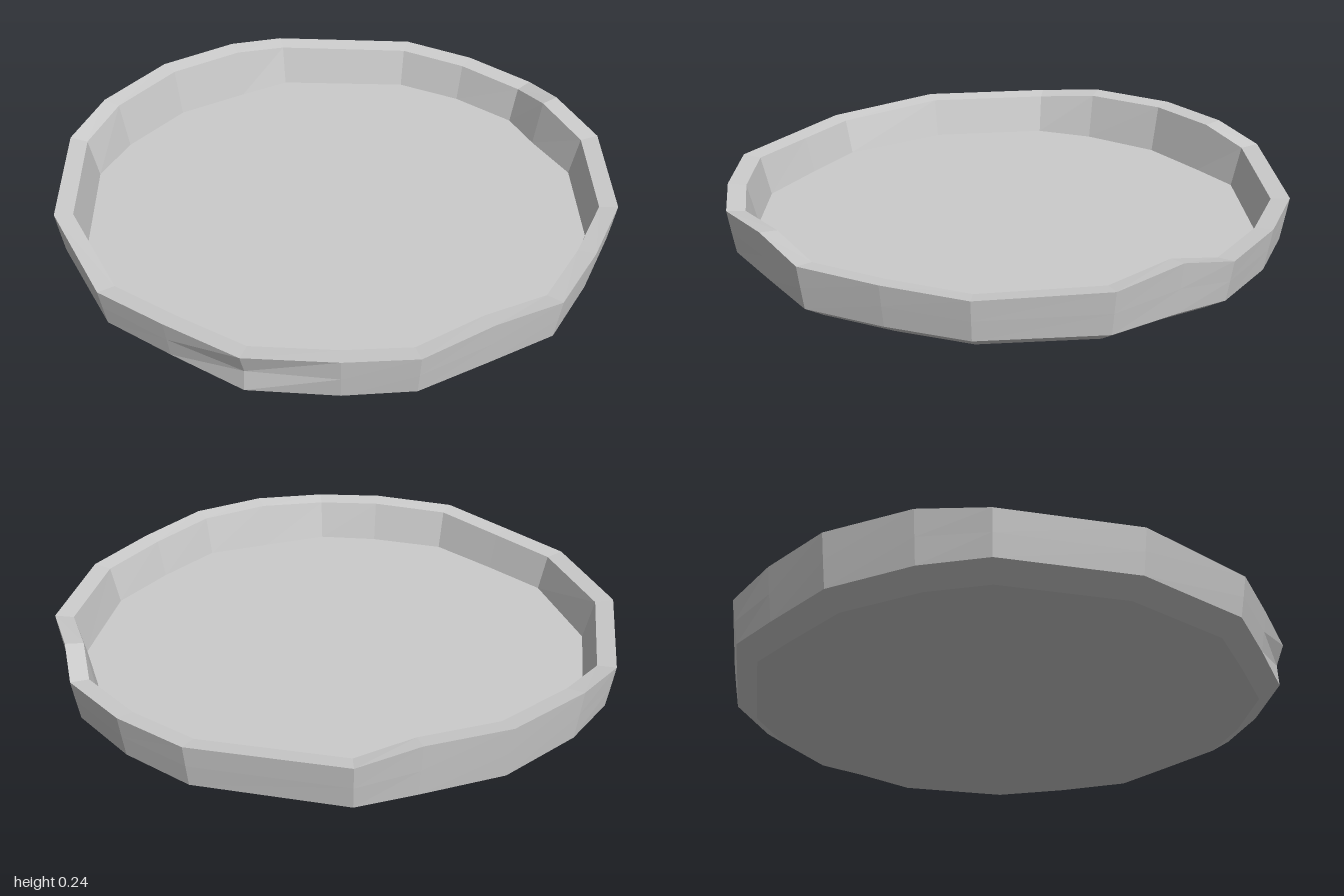
import * as THREE from 'three';

// Hand-shaped rim outline: x, z and rim height, running clockwise seen from above.
const OUTLINE = [
  [0.01, -1, 0.21], [0.52, -0.85, 0.205], [0.73, -0.67, 0.2], [0.9, -0.44, 0.195],
  [0.935, -0.25, 0.232], [1, 0, 0.205], [0.9, 0.42, 0.195], [0.72, 0.65, 0.2],
  [0.52, 0.86, 0.205], [0.27, 0.93, 0.225], [0.01, 1, 0.205], [-0.23, 0.96, 0.21],
  [-0.52, 0.86, 0.205], [-0.72, 0.64, 0.195], [-0.9, 0.43, 0.19], [-1, 0, 0.205],
  [-0.9, -0.47, 0.205], [-0.75, -0.66, 0.232], [-0.49, -0.86, 0.238], [-0.2, -0.945, 0.243],
];

// One closed loop of the cross-section: outline scaled, at a fixed or rim-following height.
const ring = (scale, height) =>
  OUTLINE.map(([x, z, y]) => [x * scale, height(y), z * scale]);

// Quads between successive loops.
function band(rings) {
  const pos = [];
  for (let r = 0; r < rings.length - 1; r++) {
    const a = rings[r], b = rings[r + 1];
    for (let i = 0; i < a.length; i++) {
      const j = (i + 1) % a.length;
      pos.push(...a[j], ...a[i], ...b[i], ...a[j], ...b[i], ...b[j]);
    }
  }
  return toGeometry(pos);
}

// Flat fan closing a loop, facing up or down.
function cap(loop, up) {
  const pos = [], centre = [0, loop[0][1], 0];
  loop.forEach((p, i) => {
    const q = loop[(i + 1) % loop.length];
    pos.push(...centre, ...(up ? q : p), ...(up ? p : q));
  });
  return toGeometry(pos);
}

function toGeometry(pos) {
  const g = new THREE.BufferGeometry();
  g.setAttribute('position', new THREE.Float32BufferAttribute(pos, 3));
  g.computeVertexNormals();
  return g;
}

export function createModel() {
  const group = new THREE.Group();
  const clay = new THREE.MeshStandardMaterial({ color: 0xcccccc, flatShading: true });
  clay.name = 'pale grey';
  const add = (name, geometry) => {
    const mesh = new THREE.Mesh(geometry, clay);
    mesh.name = name;
    group.add(mesh);
  };

  const foot = ring(0.9, () => 0);
  const shoulder = ring(0.975, () => 0.05);
  const waist = ring(0.988, (y) => 0.05 + (y - 0.05) * 0.5);
  const outerRim = ring(1, (y) => y);
  const innerRim = ring(0.935, (y) => y - 0.008);
  const floorEdge = ring(0.9, () => 0.055);

  // Shallow hand-pressed dent on the outside wall
  waist[12][0] *= 0.98;
  waist[12][2] *= 0.985;

  add('base', cap(foot, false));
  add('bottomBevel', band([foot, shoulder]));
  add('outerWall', band([shoulder, waist, outerRim]));
  add('rim', band([outerRim, innerRim]));
  add('innerWall', band([innerRim, floorEdge]));
  add('floor', cap(floorEdge, true));
  return group;
}
